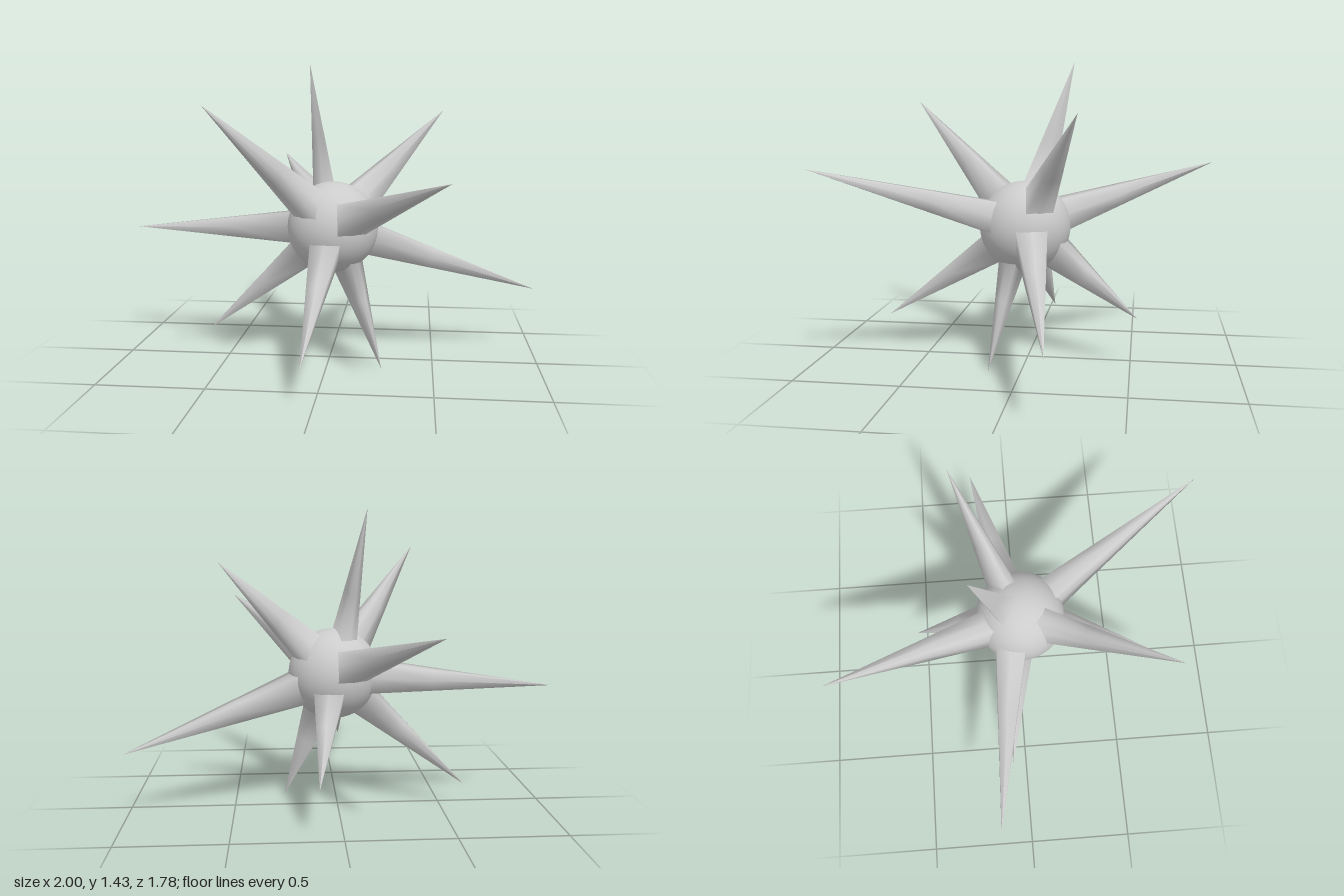
import * as THREE from 'three';

const CENTER = new THREE.Vector3(0.017, 0.652, 0.01);
const RADIUS = 0.217;
const HALF = THREE.MathUtils.degToRad(20); // half extent of a spike's footprint on the ball

// Tip position, then an optional turn of the footprint around the ball (radians)
const SPIKES = [
  [-0.12, 1.43, -0.21],
  [-0.45, 1.24, 0.65],
  [0.54, 1.2, -0.28],
  [0.54, 0.96, 0.89],
  [-0.35, 0.94, -0.89],
  [-1, 0.61, -0.15, -0.14],
  [1, 0.32, -0.2, 0.08],
  [-0.61, 0.11, -0.07],
  [0.26, 0, 0.15],
  [-0.05, 0.175, 0.71],
  [0.11, 0.24, -0.53],
];

// Footprint outline: a square with edge midpoints, counter-clockwise seen from outside
const OUTLINE = [[-1, -1], [0, -1], [1, -1], [1, 0], [1, 1], [0, 1], [-1, 1], [-1, 0]];

const onBall = (lat, lon) => new THREE.Vector3(
  Math.cos(lat) * Math.sin(lon), Math.sin(lat), Math.cos(lat) * Math.cos(lon));

// Tapered spike whose base normals blend into the ball
function spikeGeometry([x, y, z, turn = 0]) {
  const tip = new THREE.Vector3(x, y, z).sub(CENTER);
  const lat = Math.asin(tip.y / tip.length());
  const lon = Math.atan2(tip.x, tip.z) + turn;
  const dirs = OUTLINE.map(([u, v]) => onBall(lat + v * HALF, lon + u * HALF));
  const middle = onBall(lat, lon).multiplyScalar(RADIUS * 0.9);
  const axis = tip.clone().sub(middle).normalize();
  const position = [], normal = [], index = [];
  const n = dirs.length;
  dirs.forEach((d, i) => {
    const base = d.clone().multiplyScalar(RADIUS * 0.985);
    const around = dirs[(i + 1) % n].clone().sub(dirs[(i + n - 1) % n]);
    const side = around.cross(tip.clone().sub(base)).normalize();
    const blend = side.clone().addScaledVector(d, 0.6).normalize();
    // Seven rows keep the blend close to the base
    position.push(...base.toArray(), ...base.clone().lerp(tip, 0.35).toArray(), ...tip.toArray());
    normal.push(...blend.toArray(), ...side.toArray(), ...side.clone().addScaledVector(axis, 0.05).normalize().toArray());
    const a = i * 3, b = ((i + 1) % n) * 3;
    index.push(a, b, b + 1, a, b + 1, a + 1, a + 1, b + 1, b + 2);
  });
  const geometry = new THREE.BufferGeometry();
  geometry.setAttribute('position', new THREE.Float32BufferAttribute(position, 3));
  geometry.setAttribute('normal', new THREE.Float32BufferAttribute(normal, 3));
  geometry.setIndex(index);
  return geometry;
}

export function createModel() {
  const group = new THREE.Group();
  const material = new THREE.MeshStandardMaterial({ color: 0xcccccc });

  // Round core
  const ball = new THREE.Mesh(new THREE.SphereGeometry(RADIUS, 48, 32), material);
  ball.name = 'ball';
  ball.position.copy(CENTER);
  group.add(ball);

  // Spikes in all directions
  SPIKES.forEach((data, i) => {
    const spike = new THREE.Mesh(spikeGeometry(data), material);
    spike.name = `spike${i + 1}`;
    spike.position.copy(CENTER);
    group.add(spike);
  });
  return group;
}
